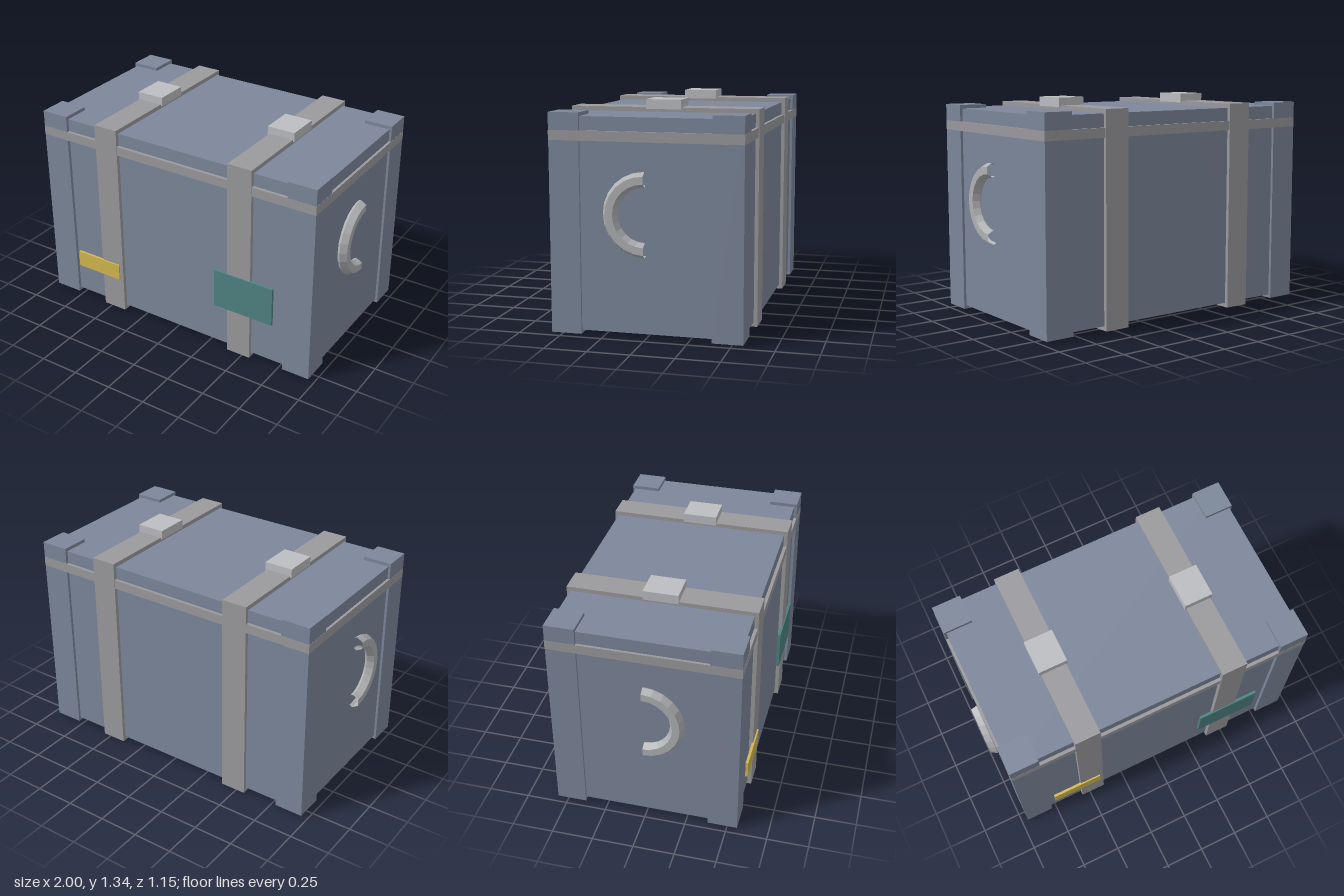
import * as THREE from 'three';

export function createModel() {
  const chest = new THREE.Group();
  chest.name = 'chest';

  const paint = (color) => new THREE.MeshStandardMaterial({ color, flatShading: true });
  const shell = paint(0x7c879a);
  const strapMat = paint(0x9a9a9e);
  const metal = paint(0xbcbdc1);
  const yellow = paint(0xd2b84e);
  const teal = paint(0x4f8282);

  // Box given by its extents on each axis
  const box = (name, [x0, x1], [y0, y1], [z0, z1], material) => {
    const mesh = new THREE.Mesh(new THREE.BoxGeometry(x1 - x0, y1 - y0, z1 - z0), material);
    mesh.position.set((x0 + x1) / 2, (y0 + y1) / 2, (z0 + z1) / 2);
    mesh.name = name;
    chest.add(mesh);
    return mesh;
  };

  // Main body and the band below the lid
  box('body', [-0.945, 0.945], [0.028, 1.262], [-0.549, 0.543], shell);
  box('lidBand', [-0.961, 0.961], [1.125, 1.182], [-0.567, 0.563], strapMat);

  // Corner posts, standing slightly proud of every face
  for (const [xName, xs] of [['Left', [0.78, 0.96]], ['Right', [-0.96, -0.78]]]) {
    box(`front${xName}Corner`, xs, [0.007, 1.283], [0.382, 0.562], shell);
    box(`back${xName}Corner`, xs, [0.007, 1.283], [-0.566, -0.386], shell);
  }

  // Straps wrapped around the body, each with a buckle on top
  for (const [side, x] of [['left', 0.472], ['right', -0.475]]) {
    box(`${side}Strap`, [x - 0.08, x + 0.08], [0, 1.288], [-0.571, 0.567], strapMat);
    box(`${side}Buckle`, [x - 0.09, x + 0.09], [1.278, 1.335], [-0.108, 0.104], metal);
  }

  // Labels on the front
  box('yellowLabel', [-0.745, -0.42], [0.23, 0.337], [0.56, 0.576], yellow);
  box('tealLabel', [0.303, 0.705], [0.303, 0.555], [0.556, 0.573], teal);

  // Half-ring handles on both ends, bulging toward the front
  const ring = new THREE.TorusGeometry(0.201, 0.044, 6, 12, Math.PI);
  ring.rotateZ(-Math.PI / 2).rotateY(-Math.PI / 2);
  const handleMat = paint(0xb0b1b4);
  handleMat.side = THREE.DoubleSide;
  for (const [side, s] of [['left', 1], ['right', -1]]) {
    const handle = new THREE.Mesh(ring, handleMat);
    handle.name = `${side}Handle`;
    handle.position.set(s * 0.962, 0.717, -0.002);
    chest.add(handle);
  }

  return chest;
}
